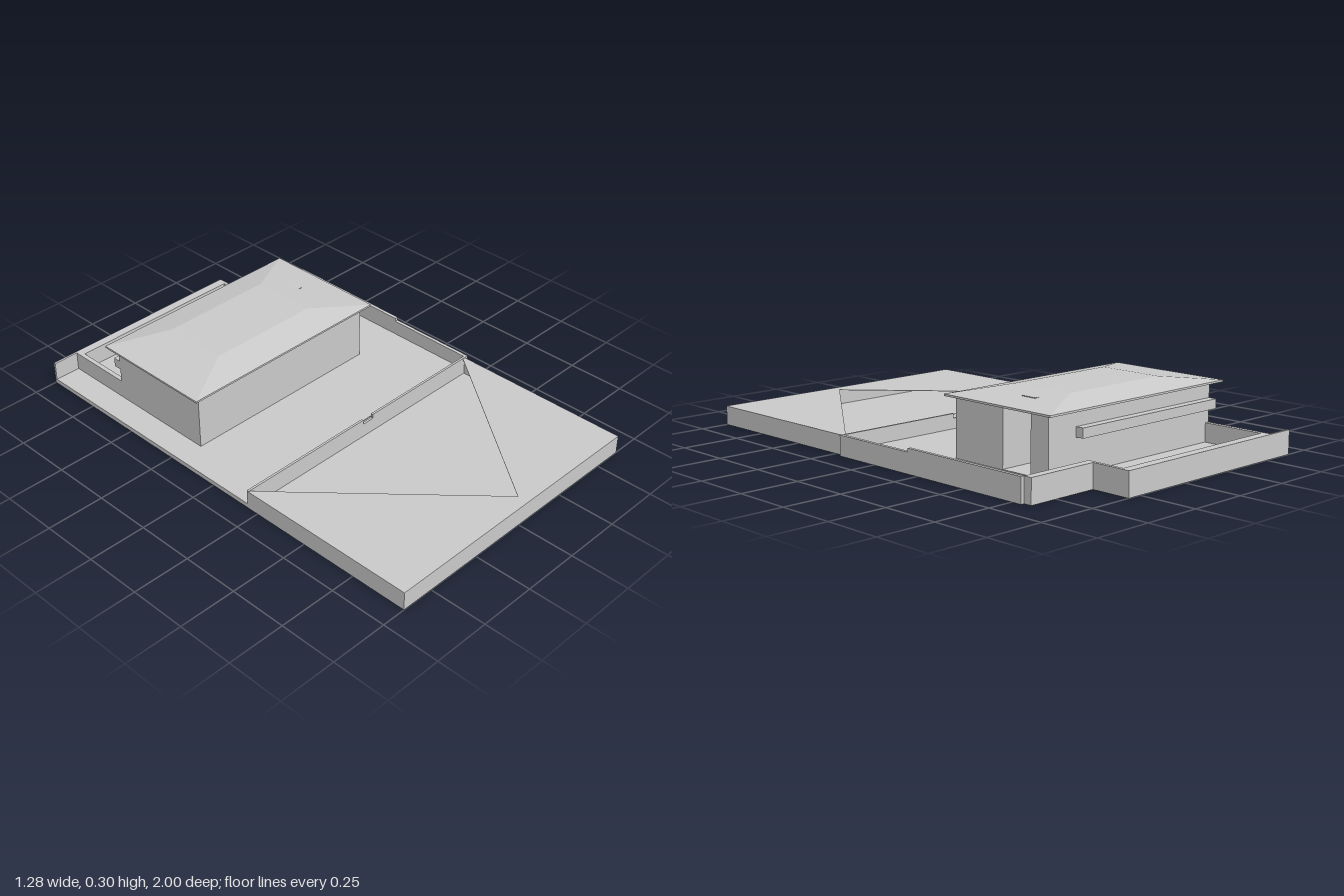
import * as THREE from 'three';

const grey = new THREE.MeshStandardMaterial({ color: 0xcccccc, side: THREE.DoubleSide });

// Box given by its limits on each axis
function block(name, x0, x1, y0, y1, z0, z1) {
  const mesh = new THREE.Mesh(new THREE.BoxGeometry(x1 - x0, y1 - y0, z1 - z0), grey);
  mesh.position.set((x0 + x1) / 2, (y0 + y1) / 2, (z0 + z1) / 2);
  mesh.name = name;
  return mesh;
}

// Plan outline in x, z raised from y0 to y1, with an optional hole
function slab(name, outline, y0, y1, hole) {
  const points = (list) => list.map(([x, z]) => new THREE.Vector2(x, -z));
  const shape = new THREE.Shape(points(outline));
  if (hole) shape.holes.push(new THREE.Path(points(hole)));
  const geometry = new THREE.ExtrudeGeometry(shape, { depth: y1 - y0, bevelEnabled: false });
  geometry.rotateX(-Math.PI / 2).translate(0, y0, 0);
  const mesh = new THREE.Mesh(geometry, grey);
  mesh.name = name;
  return mesh;
}

// Stack of rectangles [x0, x1, z0, z1, y] joined by flat faces and capped
function hippedRoof(levels) {
  const rings = levels.map(([x0, x1, z0, z1, y]) => [[x0, y, z1], [x1, y, z1], [x1, y, z0], [x0, y, z0]]);
  const pos = [];
  const quad = (a, b, c, d) => pos.push(...a, ...b, ...c, ...a, ...c, ...d);
  for (let i = 0; i < rings.length - 1; i++) {
    for (let j = 0; j < 4; j++) {
      const k = (j + 1) % 4;
      quad(rings[i][j], rings[i][k], rings[i + 1][k], rings[i + 1][j]);
    }
  }
  quad(...rings[rings.length - 1]);
  quad(...[...rings[0]].reverse());
  const geometry = new THREE.BufferGeometry();
  geometry.setAttribute('position', new THREE.Float32BufferAttribute(pos, 3));
  geometry.computeVertexNormals();
  const mesh = new THREE.Mesh(geometry, grey);
  mesh.name = 'roof';
  return mesh;
}

export function createModel() {
  const model = new THREE.Group();
  model.name = 'houseWithYard';

  // Hollow front platform with a triangular opening in its thin top
  const platform = new THREE.Group();
  platform.name = 'frontPlatform';
  const t = 0.004;
  platform.add(
    block('platformFloor', -0.645, 0.625, 0, t, 0.2, 1),
    block('platformFrontWall', -0.645, 0.625, 0, 0.08, 1 - t, 1),
    block('platformLeftWall', 0.625 - t, 0.625, 0, 0.08, 0.2, 1),
    block('platformRightWall', -0.645, -0.645 + t, 0, 0.08, 0.2, 1),
    slab('platformTop', [[-0.645, 0.2], [-0.645, 1], [0.625, 1], [0.625, 0.2]], 0.079, 0.081,
      [[-0.635, 0.205], [0.05, 0.95], [0.61, 0.205]]),
  );
  model.add(platform);

  // Footprint of the house, with a recessed porch on one end
  const footprint = [
    [-0.53, -0.2], [0.395, -0.2], [0.395, -0.455], [0.215, -0.455],
    [0.215, -0.6], [0.395, -0.6], [0.395, -0.69], [-0.53, -0.69],
  ];

  // Yard ground, open under the house
  const ground = [[-0.645, 0.2], [0.625, 0.2], [0.625, -0.83], [0.31, -0.83], [0.31, -1], [-0.645, -1]];
  model.add(slab('yardGround', ground, 0, 0.02, footprint));

  // Front yard wall with a gate notch
  model.add(
    block('frontWall', -0.645, -0.01, 0, 0.085, 0.195, 0.205),
    block('frontWall', 0.045, 0.625, 0, 0.085, 0.195, 0.205),
    block('gateSill', -0.01, 0.045, 0, 0.065, 0.195, 0.205),
  );

  // Side and back yard walls
  const h = 0.1;
  model.add(
    block('sideWallFront', 0.625, 0.64, 0, 0.085, -0.2, 0.205),
    block('sideWallBack', 0.625, 0.64, 0, h, -0.795, -0.2),
    block('backWallStep', 0.295, 0.625, 0, h, -0.83, -0.795),
    block('backWallReturn', 0.295, 0.31, 0, h, -1, -0.83),
    block('backWall', -0.53, 0.295, 0, h, -1, -0.96),
    block('backWallInnerSide', -0.53, -0.51, 0, h, -0.96, -0.69),
    block('backCornerWall', -0.645, -0.53, 0, h, -1, -0.99),
  );

  // House
  const house = new THREE.Group();
  house.name = 'house';
  house.add(
    slab('houseWalls', footprint, 0.012, 0.266),
    block('porchFloor', 0.215, 0.395, 0.012, 0.022, -0.6, -0.455),
    block('backLedge', -0.53, 0.25, 0.16, 0.2, -0.725, -0.69),
    hippedRoof([
      [-0.565, 0.43, -0.73, -0.17, 0.265],
      [-0.565, 0.43, -0.73, -0.17, 0.273],
      [-0.32, 0.185, -0.595, -0.31, 0.302],
    ]),
    block('roofVent', 0.275, 0.3, 0.28, 0.291, -0.53, -0.46),
  );
  model.add(house);

  return model;
}
